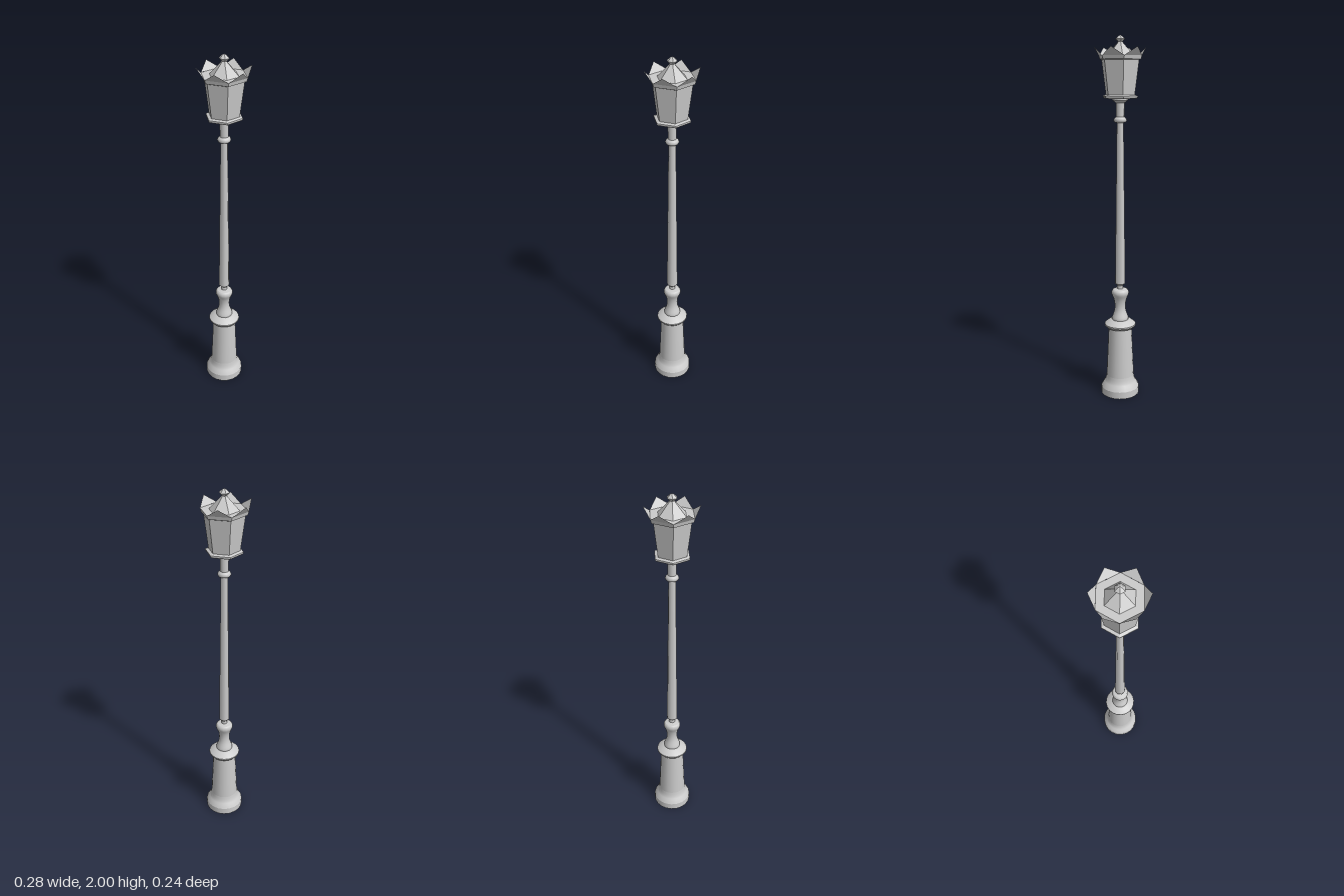
import * as THREE from 'three';

const smooth = new THREE.MeshStandardMaterial({ color: 0xcccccc, side: THREE.DoubleSide });
const flat = new THREE.MeshStandardMaterial({ color: 0xcccccc, side: THREE.DoubleSide, flatShading: true });

const toPoints = (list) => list.map(([r, y]) => new THREE.Vector2(r, y));

export function createModel() {
  const model = new THREE.Group();

  // Turned part; each profile runs bottom to top as [radius, y]
  function turn(parent, name, profile, sides, material) {
    const mesh = new THREE.Mesh(new THREE.LatheGeometry(toPoints(profile), sides), material);
    mesh.name = name;
    parent.add(mesh);
  }
  // Turned part with a curved outline
  function turnCurve(parent, name, profile, sides, steps) {
    const curve = new THREE.SplineCurve(toPoints(profile)).getPoints(steps);
    turn(parent, name, curve.map((p) => [p.x, p.y]), sides, smooth);
  }

  // Pedestal, open underneath
  const pedestal = new THREE.Group();
  pedestal.name = 'pedestal';
  model.add(pedestal);
  turn(pedestal, 'foot', [[0.108, 0], [0.108, 0.04]], 20, smooth);
  turnCurve(pedestal, 'footFlare', [[0.108, 0.04], [0.097, 0.06], [0.084, 0.08], [0.078, 0.11]], 20, 6);
  turn(pedestal, 'pedestalShaft', [[0.078, 0.11], [0.065, 0.4]], 20, smooth);
  turn(pedestal, 'collarUnderside', [[0.065, 0.4], [0.078, 0.4], [0.088, 0.412]], 20, flat);
  turn(pedestal, 'collarEdge', [[0.088, 0.412], [0.088, 0.42]], 20, smooth);
  turn(pedestal, 'collarTop', [[0.088, 0.42], [0.06, 0.442], [0.04, 0.446]], 20, smooth);

  // Baluster between pedestal and pole
  turnCurve(model, 'baluster', [[0.046, 0.444], [0.046, 0.457], [0.033, 0.495], [0.03, 0.53],
    [0.036, 0.565], [0.048, 0.595], [0.047, 0.612], [0.04, 0.621]], 16, 24);
  turn(model, 'balusterTop', [[0.04, 0.621], [0.017, 0.626]], 16, smooth);
  turn(model, 'poleNeck', [[0.017, 0.622], [0.017, 0.645], [0.029, 0.657]], 12, flat);

  // Tapered pole with a ring near the top
  turn(model, 'pole', [[0.03, 0.657], [0.019, 1.555]], 8, smooth);
  turn(model, 'poleRing', [[0.019, 1.548], [0.031, 1.553], [0.036, 1.563], [0.031, 1.573], [0.022, 1.58]], 16, smooth);
  turn(model, 'poleHead', [[0.022, 1.575], [0.023, 1.655]], 12, smooth);

  // Hexagonal lantern
  const lantern = new THREE.Group();
  lantern.name = 'lantern';
  model.add(lantern);
  turn(lantern, 'lanternCup', [[0.022, 1.652], [0.042, 1.668], [0.042, 1.68]], 16, flat);
  turn(lantern, 'lowerRim', [[0, 1.677], [0.092, 1.677], [0.098, 1.684], [0.098, 1.69], [0.08, 1.696]], 6, flat);
  turn(lantern, 'lanternBody', [[0.081, 1.693], [0.105, 1.876]], 6, flat);
  turn(lantern, 'upperRim', [[0.105, 1.874], [0.115, 1.878], [0.12, 1.896], [0.077, 1.896]], 6, flat);
  turn(lantern, 'roof', [[0.077, 1.896], [0.02, 1.956]], 6, flat);
  turn(lantern, 'finial', [[0.02, 1.956], [0.013, 1.965], [0.027, 1.98], [0.012, 1.994], [0, 2]], 6, flat);

  // Crown of thin triangles leaning outward, one on each side of the rim
  const crown = new THREE.Group();
  crown.name = 'crown';
  lantern.add(crown);
  const triangle = new THREE.BufferGeometry();
  triangle.setAttribute('position', new THREE.Float32BufferAttribute(
    [-0.06, 1.896, 0.104, 0.06, 1.896, 0.104, 0, 1.94, 0.138], 3));
  triangle.computeVertexNormals();
  for (let i = 0; i < 6; i++) {
    const leaf = new THREE.Mesh(triangle, flat);
    leaf.name = 'crownPoint';
    leaf.rotation.y = Math.PI / 6 + (i * Math.PI) / 3;
    crown.add(leaf);
  }
  return model;
}
